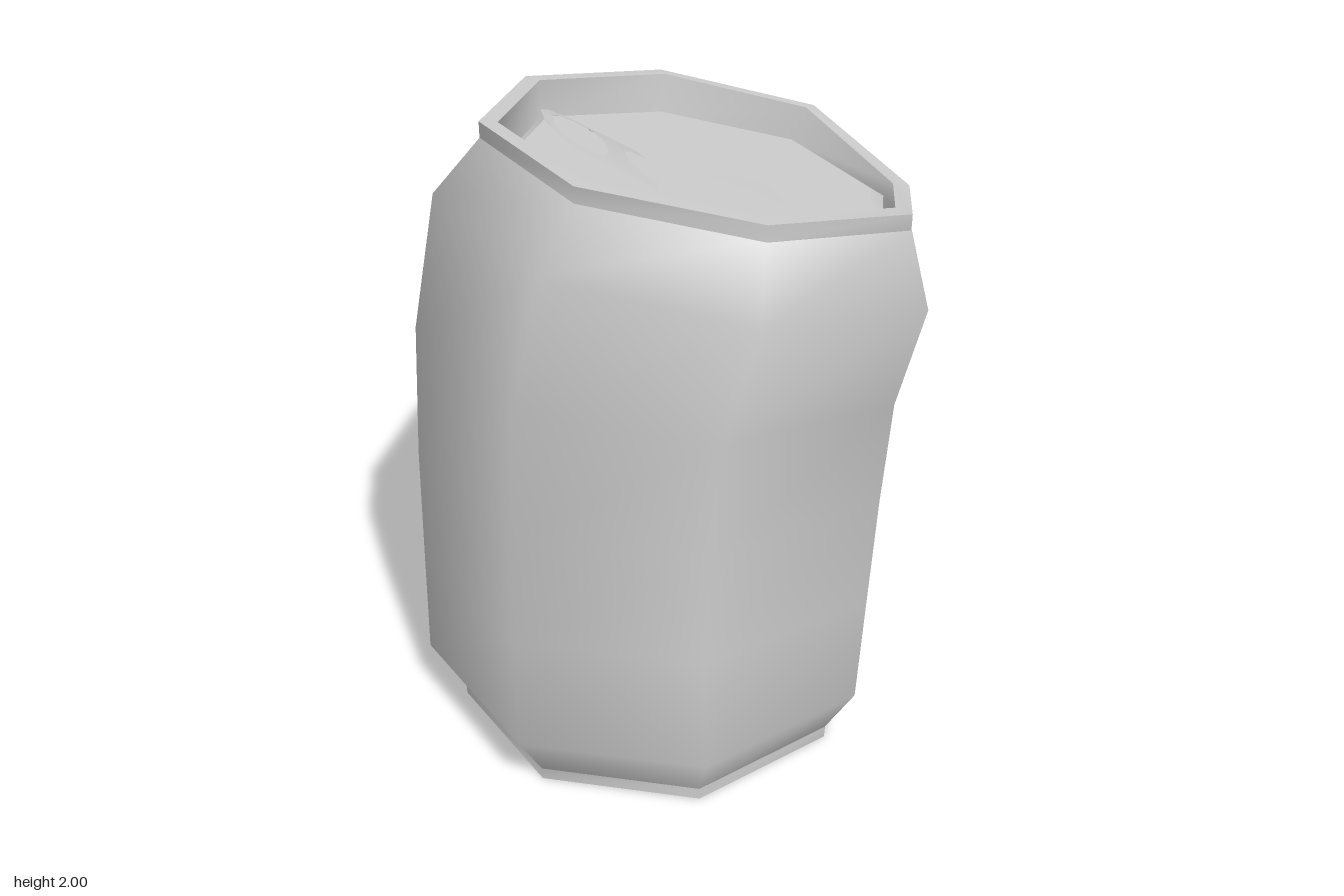
import * as THREE from 'three';

const SIDES = 8;
const material = new THREE.MeshStandardMaterial({ color: 0xcccccc, side: THREE.DoubleSide });

// One eight-cornered ring: centre, radius, height, lean towards +x,
// then how far the crushed +x corner is pulled in and dropped,
// how far its two neighbours bulge out, and the rear dent.
function ring(cx, r, y, { lean = 0, pull = 0, drop = 0, bulge = 0, dent = 0 } = {}) {
  const rearDent = [0, 0, 0, 0, 0, 0.85, 1, 0.5];
  const points = [];
  for (let i = 0; i < SIDES; i++) {
    const a = (i / SIDES) * Math.PI * 2;
    const beside = i === 1 || i === 7;
    const rr = r - dent * rearDent[i] + (beside ? bulge : 0);
    const fall = i === 0 ? drop : beside ? drop * 0.2 : 0;
    points.push([
      cx + Math.cos(a) * rr - (i === 0 ? pull : 0),
      y - lean * Math.cos(a) * rr - fall,
      Math.sin(a) * rr,
    ]);
  }
  return points;
}

// Smooth skin over a run of rings
function skin(name, rings) {
  const index = [];
  for (let k = 0; k < rings.length - 1; k++) {
    for (let i = 0; i < SIDES; i++) {
      const j = (i + 1) % SIDES;
      const a = k * SIDES + i, d = k * SIDES + j;
      const b = a + SIDES, c = d + SIDES;
      index.push(a, b, d, b, c, d);
    }
  }
  const geo = new THREE.BufferGeometry();
  geo.setAttribute('position', new THREE.Float32BufferAttribute(rings.flat(2), 3));
  geo.setIndex(index);
  geo.computeVertexNormals();
  const mesh = new THREE.Mesh(geo, material);
  mesh.name = name;
  return mesh;
}

// Pull tab: a thin, slightly crowned plate with a finger hole, sloping up from the lid
function pullTab() {
  const v = (list) => list.map(([x, z]) => new THREE.Vector2(x, z));
  const shape = new THREE.Shape(v([
    [-0.04, -0.145], [-0.25, -0.145], [-0.32, -0.1], [-0.35, -0.04], [-0.35, 0.06],
    [-0.32, 0.12], [-0.26, 0.165], [-0.04, 0.165], [-0.04, 0.09], [-0.09, 0.08],
    [-0.115, 0.04], [-0.115, -0.03], [-0.09, -0.07], [-0.04, -0.08],
  ]));
  shape.holes.push(new THREE.Path(v([
    [-0.2, -0.1], [-0.25, -0.11], [-0.3, -0.08], [-0.32, -0.03], [-0.32, 0.05],
    [-0.3, 0.1], [-0.24, 0.13], [-0.2, 0.11], [-0.175, 0.06], [-0.175, -0.05],
  ])));
  const geo = new THREE.ShapeGeometry(shape);
  geo.rotateX(Math.PI / 2);
  const p = geo.attributes.position;
  for (let i = 0; i < p.count; i++) {
    const crown = 0.5 * (p.getZ(i) - 0.01) ** 2;
    p.setY(i, 1.817 + 0.59 * (-0.04 - p.getX(i)) - crown);
  }
  // Turn the faces upward
  const idx = geo.index.array;
  for (let i = 0; i < idx.length; i += 3) {
    [idx[i], idx[i + 1]] = [idx[i + 1], idx[i]];
  }
  geo.computeVertexNormals();
  const mesh = new THREE.Mesh(geo, material);
  mesh.name = 'pullTab';
  return mesh;
}

export function createModel() {
  const can = new THREE.Group();
  can.name = 'crushedCan';

  // Base: recessed floor, standing ring and its outer band
  const base = [
    ring(-0.035, 0, 0.03), ring(-0.035, 0.6, 0.03), ring(-0.035, 0.615, 0),
    ring(-0.035, 0.65, 0), ring(-0.035, 0.65, 0.04),
  ];
  ['floor', 'baseInnerWall', 'baseEdge', 'baseBand'].forEach((name, i) => {
    can.add(skin(name, [base[i], base[i + 1]]));
  });

  // Rim, tilted down towards +x and bent at the crushed corner
  const tilt = { lean: 0.148, pull: 0.025, drop: 0.1 };
  const lidTilt = { lean: 0.17, pull: 0.025 };
  const rim = [
    ring(0.12, 0.647, 1.848, { ...tilt, pull: 0.033 }),
    ring(0.12, 0.647, 1.895, tilt),
    ring(0.12, 0.595, 1.897, tilt),
    ring(0.105, 0.582, 1.772, lidTilt),
  ];
  ['rimBand', 'rimEdge', 'rimInnerWall'].forEach((name, i) => {
    can.add(skin(name, [rim[i], rim[i + 1]]));
  });

  // Lid: flat panel raised a little above the groove along the rim
  const panel = ring(0.1, 0.548, 1.79, lidTilt);
  can.add(skin('lidGroove', [rim[3], panel]));
  can.add(skin('lidPanel', [panel, ring(0.1, 0, 1.79)]));

  // Body: bent and dented wall between base and rim
  can.add(skin('body', [
    base[4],
    ring(-0.04, 0.752, 0.22),
    ring(-0.045, 0.737, 0.6, { pull: 0.072, bulge: 0.035 }),
    ring(-0.035, 0.737, 0.96, { pull: 0.117, bulge: 0.04, dent: 0.08 }),
    ring(-0.01, 0.737, 1.32, { lean: 0.085, pull: 0.087, bulge: 0.035 }),
    ring(0.085, 0.752, 1.66, { lean: 0.175, pull: 0.05, drop: 0.07 }),
    rim[0],
  ]));

  can.add(pullTab());
  return can;
}
